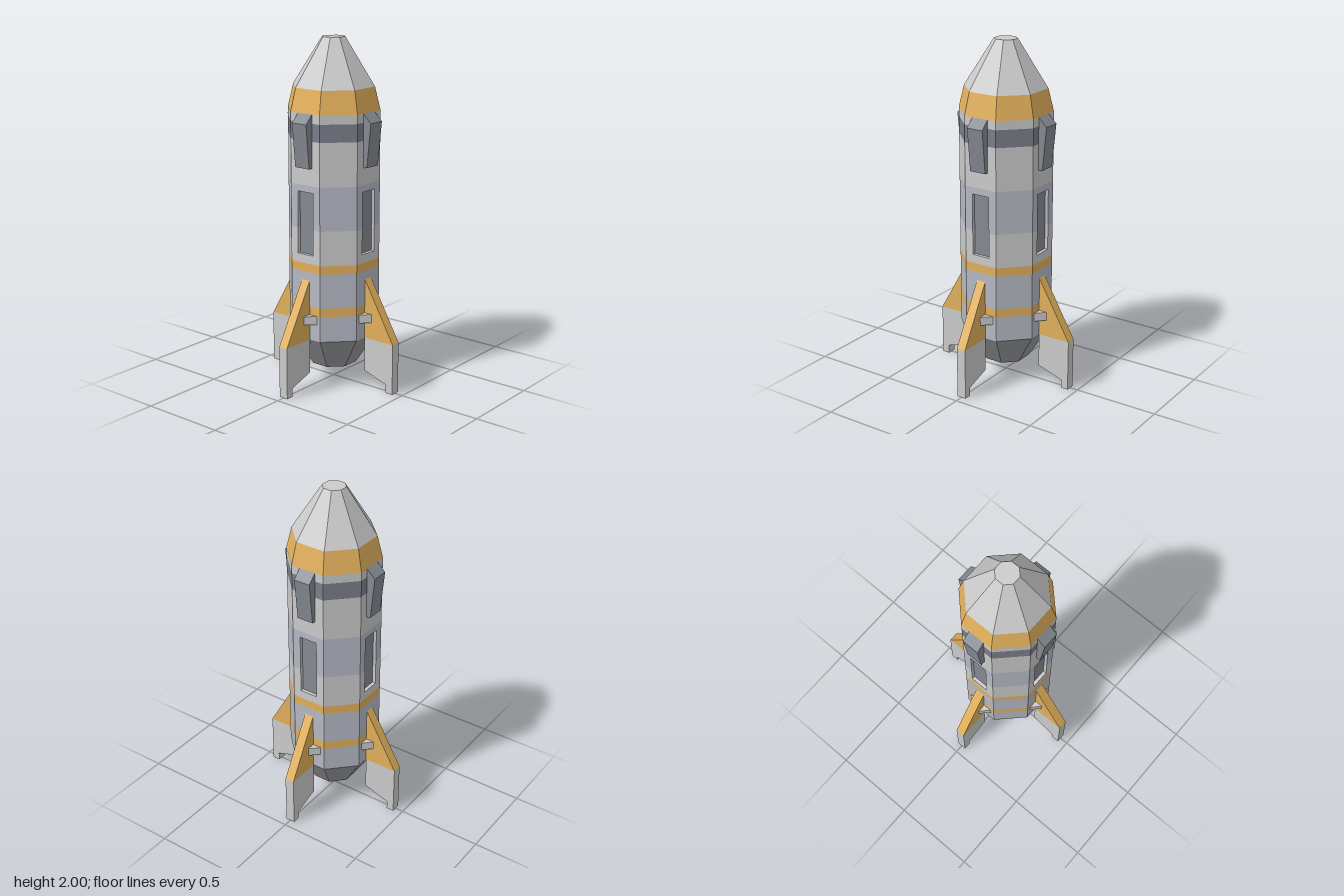
import * as THREE from 'three';

const LIGHT = 0xcccccc, PALE = 0xb6bac4, DARK = 0x7b7f8a, GOLD = 0xe2b05c, STEEL = 0x858a92;
const SIDES = 8, HALF = Math.PI / SIDES, R = 0.25, EDGE = R * Math.tan(HALF);

function mesh(name, geometry, color) {
  const material = new THREE.MeshStandardMaterial({ color, flatShading: true });
  const m = new THREE.Mesh(geometry, material);
  m.name = name;
  return m;
}

// Octagonal ring between two heights; radii are measured to the flat sides
function ring(name, y0, r0, y1, r1, color) {
  const k = 1 / Math.cos(HALF);
  const g = new THREE.CylinderGeometry(r1 * k, r0 * k, y1 - y0, SIDES, 1, true, HALF);
  return mesh(name, g.translate(0, (y0 + y1) / 2, 0), color);
}

function disc(name, y, r, up, color) {
  const g = new THREE.CircleGeometry(r / Math.cos(HALF), SIDES, HALF);
  return mesh(name, g.rotateX(up ? -Math.PI / 2 : Math.PI / 2).translate(0, y, 0), color);
}

function extrude(points, depth) {
  const shape = new THREE.Shape(points.map(([x, y]) => new THREE.Vector2(x, y)));
  return new THREE.ExtrudeGeometry(shape, { depth, bevelEnabled: false });
}

// Side profile of (distance from axis, height), given thickness and facing +z
function radial(name, points, width, color) {
  const g = extrude(points, width).translate(0, 0, -width / 2).rotateY(-Math.PI / 2);
  return mesh(name, g, color);
}

export function createModel() {
  const model = new THREE.Group();
  model.name = 'rocket';

  // Hull rings, bottom to top
  const rings = [
    ['engineCone', 0.1, 0.125, 0.3, R, 0x98999e],
    ['lowerHull', 0.3, R, 0.45, R, PALE],
    ['lowerStripe', 0.45, R, 0.5, R, GOLD],
    ['finHull', 0.5, R, 0.7, R, PALE],
    ['upperStripe', 0.7, R, 0.75, R, GOLD],
    ['upperHull', 1.2, R, 1.45, R, LIGHT],
    ['darkBand', 1.45, R, 1.55, R, DARK],
    ['collar', 1.55, R, 1.6, R, LIGHT],
    ['shoulder', 1.6, R, 1.73, 0.22, GOLD],
    ['noseCone', 1.73, 0.22, 2, 0.062, LIGHT],
  ];
  rings.forEach((r) => model.add(ring(...r)));
  model.add(disc('engineBase', 0.1, 0.125, false, 0x77787c));
  model.add(disc('noseTip', 2, 0.062, true, LIGHT));

  // Window panes set back behind the middle hull panels
  const depth = 0.02, w = 0.055;
  model.add(ring('windowPanes', 0.75, R - depth, 1.2, R - depth, STEEL));
  for (let i = 0; i < SIDES; i++) {
    const hasWindow = i % 2 === 0;
    const lower = [[-EDGE, 0.75], [EDGE, 0.75], [EDGE, 0.95]];
    if (hasWindow) lower.push([w, 0.95], [w, 0.8], [-w, 0.8], [-w, 0.95]);
    lower.push([-EDGE, 0.95]);
    const upper = [[EDGE, 1.2], [-EDGE, 1.2], [-EDGE, 0.95]];
    if (hasWindow) upper.push([-w, 0.95], [-w, 1.16], [w, 1.16], [w, 0.95]);
    upper.push([EDGE, 0.95]);
    [['lowerPanel', lower, LIGHT], ['upperPanel', upper, PALE]].forEach(([name, pts, color]) => {
      const g = extrude(pts, depth).translate(0, 0, R - depth).rotateY(i * 2 * HALF);
      model.add(mesh(name, g, color));
    });
  }

  // Four identical sides: fin, leg, bracket and flap
  for (let i = 0; i < 4; i++) {
    const side = new THREE.Group();
    side.name = 'finAssembly';
    side.add(radial('fin', [[R, 0.3], [0.45, 0.3], [R, 0.65]], 0.056, GOLD));
    side.add(radial('leg',
      [[R, 0.1], [0.405, 0.05], [0.405, 0], [0.45, 0], [0.45, 0.3], [R, 0.3]], 0.056, LIGHT));
    side.add(radial('flap', [[R, 1.3], [0.275, 1.3], [0.3, 1.55], [R, 1.6]], 0.1, STEEL));

    // Tapered bracket across the fin
    const bracket = extrude([[-0.08, -R], [-0.028, -0.3], [0.028, -0.3], [0.08, -R]], 0.05);
    side.add(mesh('finBracket', bracket.rotateX(-Math.PI / 2).translate(0, 0.4, 0), LIGHT));

    side.rotation.y = (i * Math.PI) / 2;
    model.add(side);
  }
  return model;
}
